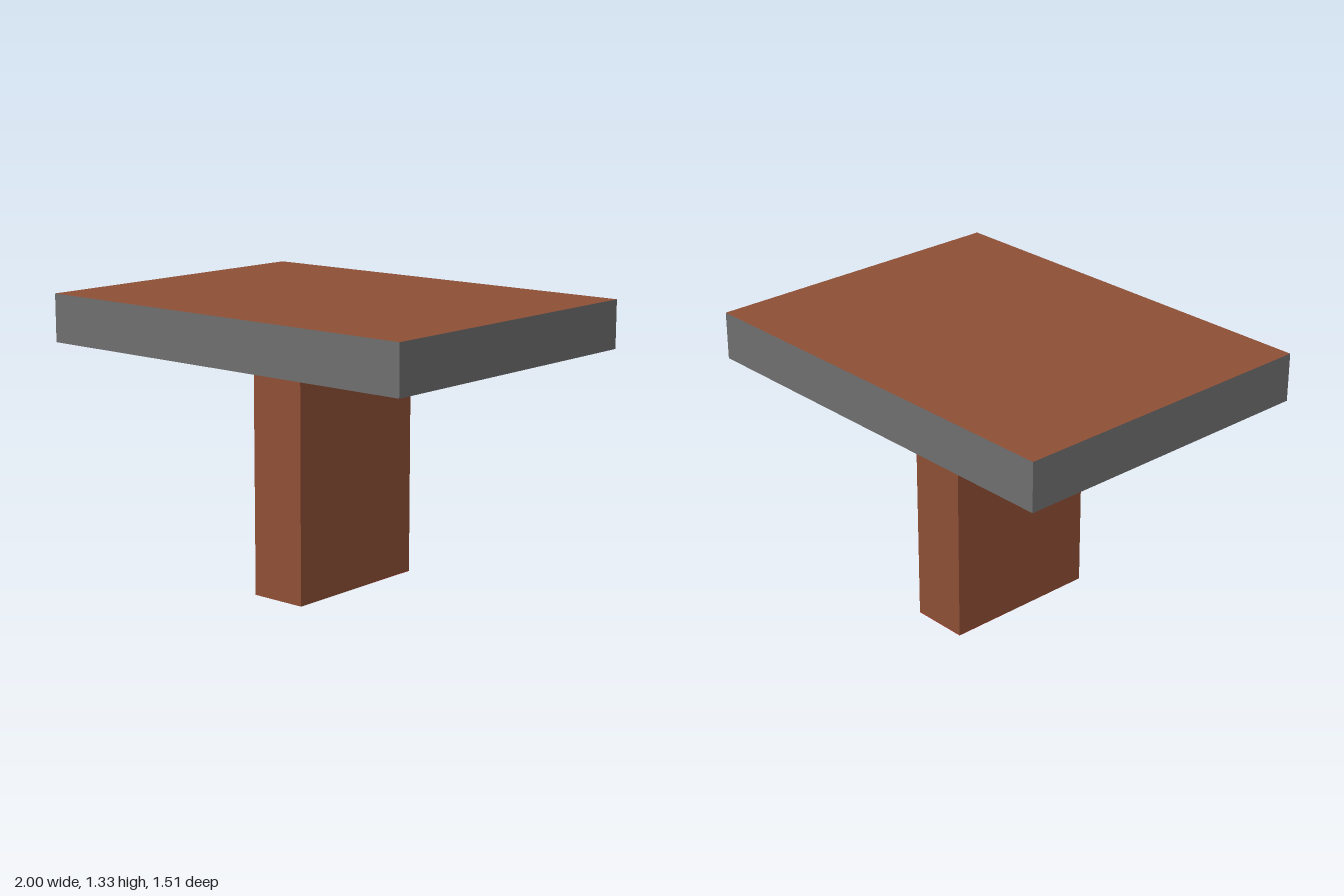
import * as THREE from 'three';

function material(name, color) {
  const m = new THREE.MeshStandardMaterial({ color });
  m.name = name;
  return m;
}

// Box given by its lower and upper corners
function box(name, min, max, mat) {
  const size = max.map((v, i) => v - min[i]);
  const mesh = new THREE.Mesh(new THREE.BoxGeometry(...size), mat);
  mesh.position.set(...max.map((v, i) => (v + min[i]) / 2));
  mesh.name = name;
  return mesh;
}

export function createModel() {
  const brown = material('brown wood', 0x8f4f36);
  const grey = material('grey edging', 0x6f6f6f);
  const red = material('red underside', 0xbf2f2f);

  const model = new THREE.Group();
  model.name = 'table';

  // Slab: grey rim, brown top and underside (face order +x -x +y -y +z -z)
  model.add(box('tableTop', [-1, 1.105, -0.755], [1, 1.327, 0.755],
    [grey, grey, brown, brown, grey, grey]));

  // Single broad leg
  model.add(box('leg', [-0.14, 0.002, -0.385], [0.135, 1.105, 0.37], brown));

  // Thin red patch under the back of the leg
  model.add(box('footPatch', [-0.14, 0, -0.385], [0.135, 0.002, -0.1], red));

  // Remaining sole of the leg, level with the patch
  model.add(box('footSole', [-0.14, 0, -0.1], [0.135, 0.002, 0.37], brown));

  return model;
}
